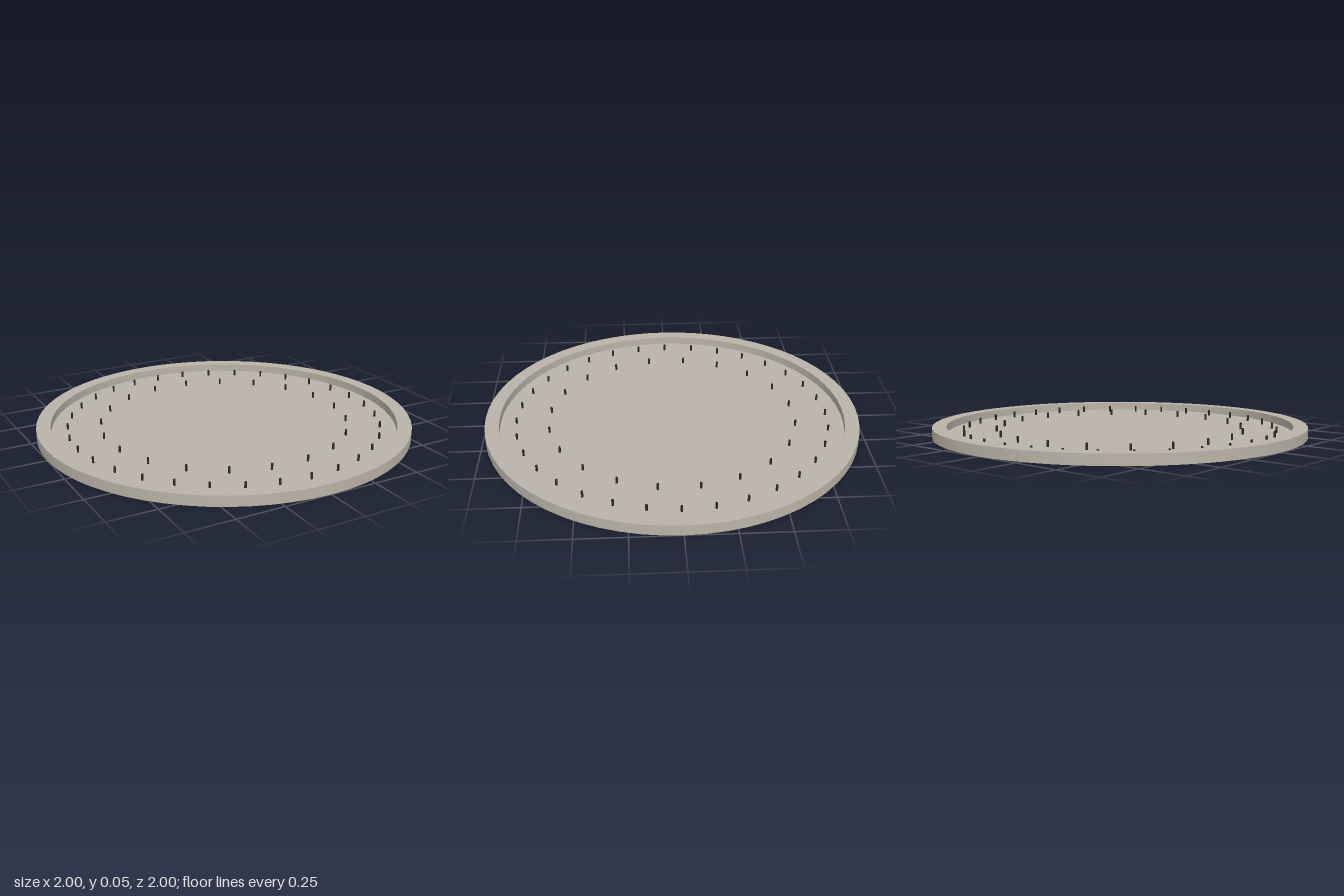
import * as THREE from 'three';
import { toCreasedNormals } from 'three/addons/utils/BufferGeometryUtils.js';

const HEIGHT = 0.055, FLOOR = 0.013, RIM_INNER = 0.925;

export function createModel() {
  const model = new THREE.Group();
  model.name = 'roundTray';

  const stone = new THREE.MeshStandardMaterial({ color: 0xbab3a8 });
  stone.name = 'warm grey';
  const dark = new THREE.MeshStandardMaterial({ color: 0x2a2a2a });
  dark.name = 'dark grey';

  // Shallow dish: underside, outer wall, flat rim, inner wall, floor
  const profile = [
    [0, 0], [1, 0], [1, HEIGHT], [RIM_INNER, HEIGHT], [RIM_INNER, FLOOR], [0, FLOOR],
  ].map(([r, y]) => new THREE.Vector2(r, y));
  const dish = new THREE.Mesh(toCreasedNormals(new THREE.LatheGeometry(profile, 64), 0.5), stone);
  dish.name = 'dish';
  model.add(dish);

  // Two rings of small upright pins on the floor
  const pinHeight = 0.033;
  const pinGeometry = new THREE.CylinderGeometry(0.006, 0.006, pinHeight, 8);
  function addPinRing(name, count, radius, offset) {
    const ring = new THREE.Group();
    ring.name = name;
    for (let i = 0; i < count; i++) {
      const a = ((i + offset) / count) * Math.PI * 2;
      const pin = new THREE.Mesh(pinGeometry, dark);
      pin.name = 'pin';
      pin.position.set(Math.sin(a) * radius, FLOOR + pinHeight / 2, Math.cos(a) * radius);
      ring.add(pin);
    }
    model.add(ring);
  }
  addPinRing('outerPins', 32, 0.838, 0);
  addPinRing('innerPins', 20, 0.664, 0.5);

  return model;
}
